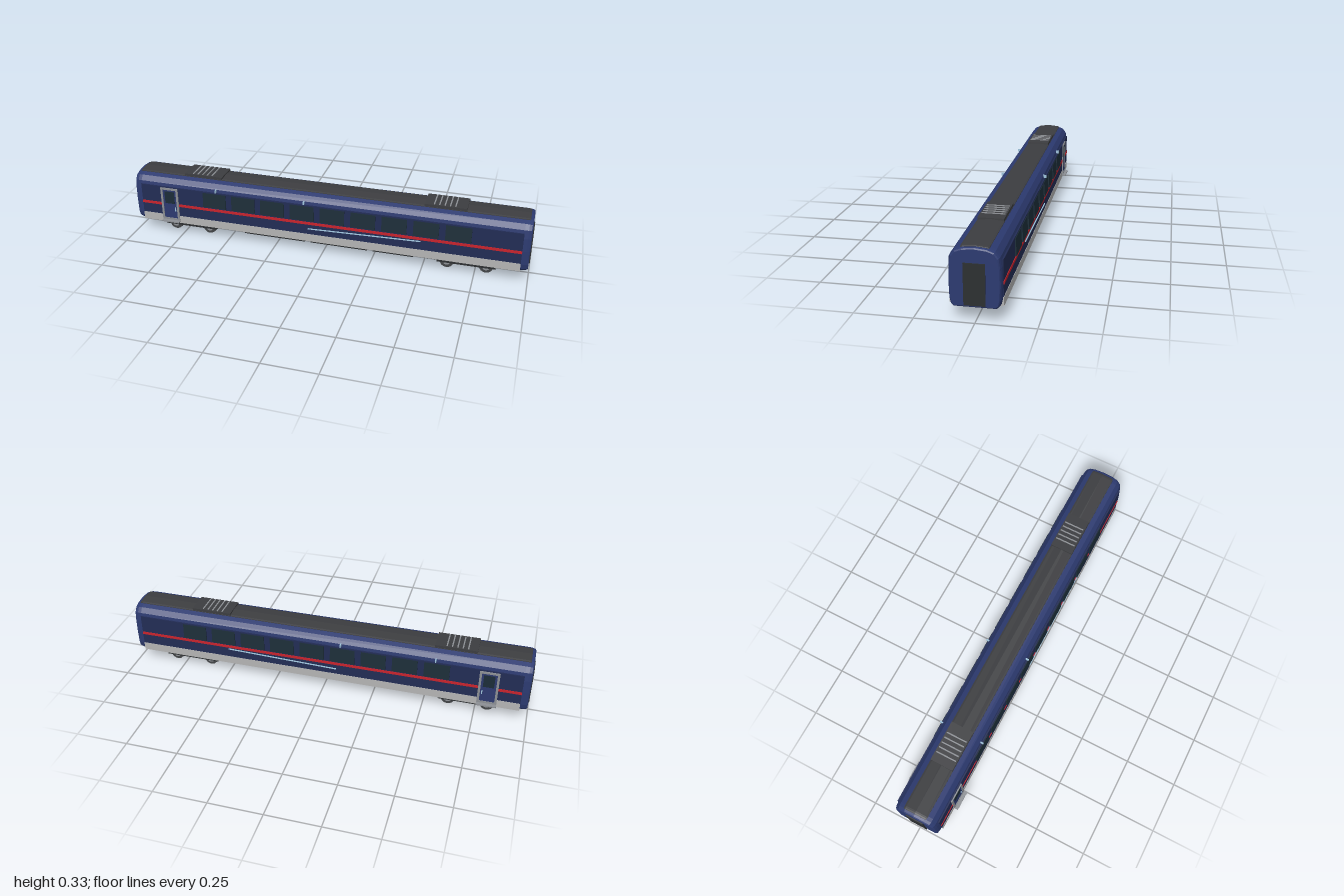
import * as THREE from 'three';

const mat = (color, extra = {}) => new THREE.MeshStandardMaterial({ color, ...extra });
const M = {
  navy: mat(0x2c3a70), panel: mat(0x222c55), roof: mat(0x3c3d40), dark: mat(0x2c2f31),
  glass: mat(0x1c2d38), red: mat(0xc8232c), grey: mat(0xb4b4b4), frame: mat(0x8c8f94),
  wheel: mat(0x424446), light: mat(0x9fc4dc),
};

function add(parent, name, geometry, material, x = 0, y = 0, z = 0) {
  const mesh = new THREE.Mesh(geometry, material);
  mesh.name = name;
  mesh.position.set(x, y, z);
  parent.add(mesh);
  return mesh;
}

// Box given by its limits along each axis
function slab(parent, name, material, [x0, x1], [y0, y1], [z0, z1]) {
  return add(parent, name, new THREE.BoxGeometry(x1 - x0, y1 - y0, z1 - z0), material,
    (x0 + x1) / 2, (y0 + y1) / 2, (z0 + z1) / 2);
}

// Cross-section of (z, y) points run along x, with tapered ends
function runAlongX(points, length, taper, inset) {
  const shape = new THREE.Shape(points.map(p => new THREE.Vector2(p[0], p[1])));
  const geometry = new THREE.ExtrudeGeometry(shape, {
    depth: length - 2 * taper, bevelEnabled: taper > 0, bevelThickness: taper,
    bevelSize: inset, bevelOffset: -inset, bevelSegments: 3,
  });
  geometry.translate(0, 0, -(length - 2 * taper) / 2);
  geometry.rotateY(Math.PI / 2);
  return geometry;
}

const mirrored = half => [...half, ...half.slice().reverse().filter(p => p[0] > 0).map(p => [-p[0], p[1]])];

// Everything fixed to one long side, built for +z
function buildSide() {
  const side = new THREE.Group();
  side.name = 'sideDetails';
  slab(side, 'sidePanel', M.panel, [-0.96, 0.96], [0.1, 0.262], [0.095, 0.1085]);
  slab(side, 'skirt', M.grey, [-0.96, 0.96], [0.065, 0.105], [0.092, 0.11]);
  slab(side, 'redStripe', M.red, [-0.96, 0.96], [0.158, 0.172], [0.1, 0.111]);

  // Window row, leaning in slightly at the top
  for (let i = 0; i < 9; i++) {
    const x = 0.665 - i * 0.153;
    const pane = slab(side, 'window', M.glass, [x - 0.061, x + 0.061], [0.18, 0.256], [0.1, 0.114]);
    pane.rotation.x = -0.06;
  }

  // Entrance door with frame, leaf, glass and step
  const outline = new THREE.Shape();
  outline.moveTo(-0.047, 0.08).lineTo(0.047, 0.08).lineTo(0.047, 0.257).lineTo(-0.047, 0.257);
  const hole = new THREE.Path();
  hole.moveTo(-0.036, 0.09).lineTo(-0.036, 0.247).lineTo(0.036, 0.247).lineTo(0.036, 0.09);
  outline.holes.push(hole);
  add(side, 'doorFrame', new THREE.ExtrudeGeometry(outline, { depth: 0.013, bevelEnabled: false }),
    M.frame, -0.805, 0, 0.101);
  slab(side, 'door', M.navy, [-0.843, -0.767], [0.085, 0.25], [0.1, 0.1115]);
  slab(side, 'doorWindow', M.glass, [-0.831, -0.779], [0.172, 0.238], [0.1, 0.113]);
  slab(side, 'doorHandle', M.light, [-0.78, -0.775], [0.13, 0.152], [0.108, 0.115]);
  slab(side, 'doorStep', M.frame, [-0.852, -0.758], [0.072, 0.078], [0.1, 0.13]);

  // Thin slanted trim line and marker lamps
  const trim = slab(side, 'trimLine', M.light, [-0.07, 0.49], [0.141, 0.145], [0.104, 0.1135]);
  trim.rotation.z = 0.028;
  for (const x of [-0.55, -0.09]) {
    slab(side, 'markerLamp', M.light, [x - 0.003, x + 0.003], [0.266, 0.28], [0.095, 0.115]);
  }
  return side;
}

// Pair of axles with their frame
function buildBogie(x) {
  const bogie = new THREE.Group();
  bogie.name = 'bogie';
  bogie.position.x = x;
  slab(bogie, 'bogieFrame', M.dark, [-0.14, 0.14], [0.036, 0.063], [-0.079, 0.079]);
  for (const dx of [-0.094, 0.094]) {
    const axle = new THREE.CylinderGeometry(0.007, 0.007, 0.12, 10).rotateX(Math.PI / 2);
    add(bogie, 'axle', axle, M.wheel, dx, 0.036, 0);
    for (const s of [-1, 1]) {
      const tyre = new THREE.CylinderGeometry(0.033, 0.033, 0.016, 24).rotateX(Math.PI / 2);
      const flange = new THREE.CylinderGeometry(0.036, 0.036, 0.004, 24).rotateX(Math.PI / 2);
      const hub = new THREE.CylinderGeometry(0.018, 0.018, 0.006, 16).rotateX(Math.PI / 2);
      add(bogie, 'wheel', tyre, M.wheel, dx, 0.036, s * 0.055);
      add(bogie, 'wheelFlange', flange, M.wheel, dx, 0.036, s * 0.046);
      add(bogie, 'wheelHub', hub, M.frame, dx, 0.036, s * 0.064);
    }
  }
  return bogie;
}

export function createModel() {
  const car = new THREE.Group();
  car.name = 'railwayCarriage';

  // Body shell
  const section = mirrored([
    [0.088, 0.061], [0.1, 0.074], [0.106, 0.1], [0.108, 0.17], [0.106, 0.235],
    [0.1, 0.278], [0.082, 0.302], [0.05, 0.314], [0, 0.319],
  ]);
  add(car, 'body', runAlongX(section, 1.99, 0.035, 0.009), M.navy);

  // Dark roof covering
  const strip = mirrored([[0.058, 0.304], [0.058, 0.3135], [0.05, 0.3165], [0, 0.3215]]);
  add(car, 'roofCovering', runAlongX(strip, 1.96, 0.015, 0.003), M.roof);

  // Roof equipment boxes with slats
  for (const x of [-0.635, 0.59]) {
    slab(car, 'roofUnit', M.roof, [x - 0.1, x + 0.1], [0.31, 0.326], [-0.057, 0.057]);
    for (let i = -2; i <= 2; i++) {
      const sx = x - 0.005 + i * 0.025;
      slab(car, 'roofSlat', M.frame, [sx - 0.003, sx + 0.003], [0.322, 0.329], [-0.051, 0.051]);
    }
  }

  // Gangway doors at both ends
  for (const s of [-1, 1]) {
    const door = slab(car, 'gangwayDoor', M.dark, [-0.01, 0.01], [0.075, 0.253], [-0.044, 0.044]);
    door.position.x = s * 0.99;
  }

  // Both long sides
  const front = buildSide();
  car.add(front);
  const back = new THREE.Group();
  back.name = 'backSideDetails';
  back.add(...buildSide().children);
  back.scale.z = -1;
  car.add(back);

  // Underframe, equipment cases and bogies
  slab(car, 'underframe', M.dark, [-0.85, 0.85], [0.045, 0.064], [-0.077, 0.077]);
  for (const [x0, x1] of [[-0.42, -0.1], [-0.07, 0.22], [0.25, 0.45]]) {
    slab(car, 'equipmentCase', M.dark, [x0, x1], [0.034, 0.05], [-0.068, 0.068]);
  }
  for (const x of [-0.712, 0.708]) car.add(buildBogie(x));

  return car;
}
